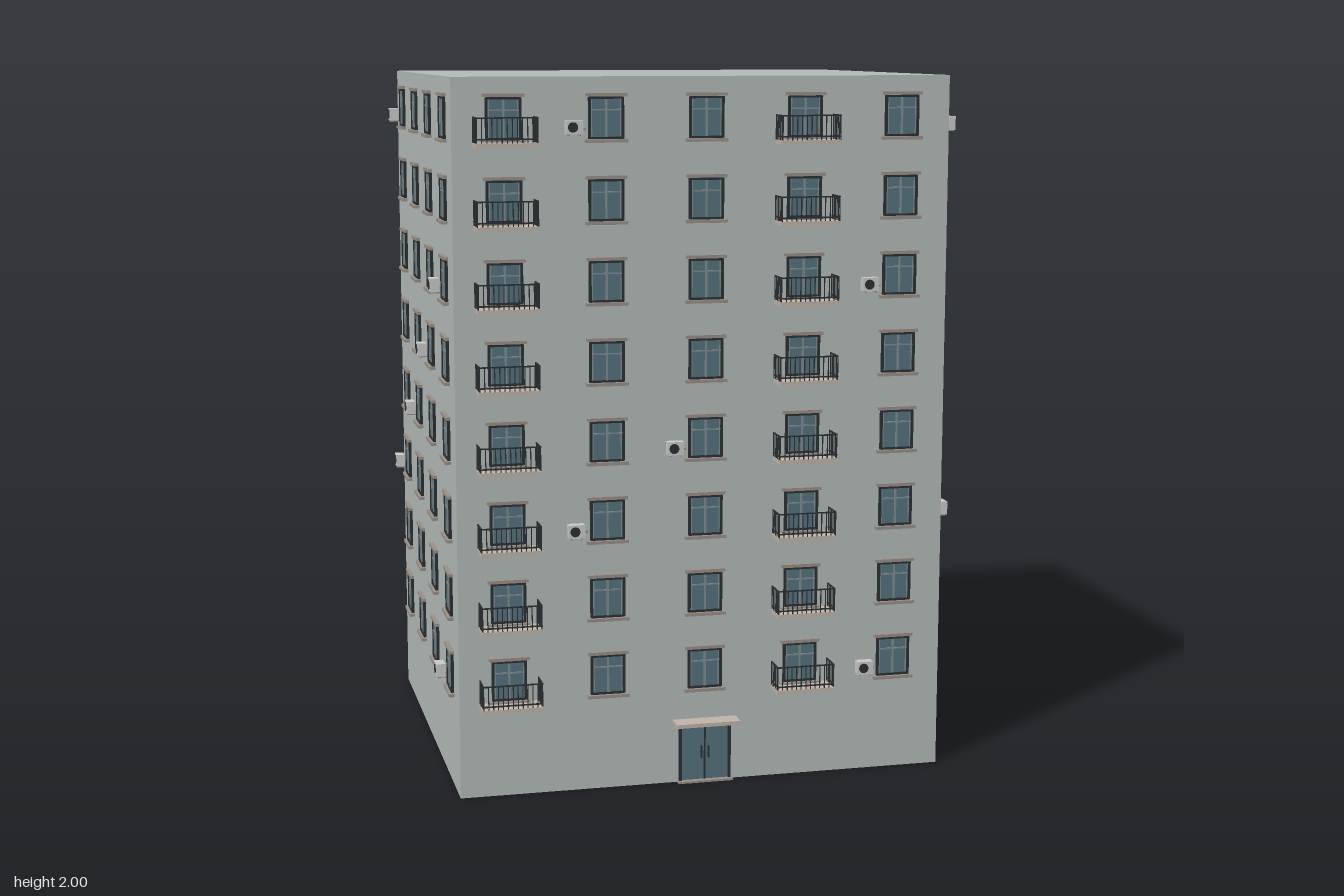
import * as THREE from 'three';
import { mergeGeometries } from 'three/addons/utils/BufferGeometryUtils.js';

const mat = (color) => new THREE.MeshStandardMaterial({ color });
const M = {
  wall: mat(0xb4bcba), trim: mat(0x9a9188), slab: mat(0xc0b5aa), glass: mat(0x55737f),
  sash: mat(0x7f8d90), dark: mat(0x2b3033), casing: mat(0xcccccc),
};

// Box of size w,h,d centred in x and y, with its back at z
const box = (w, h, d, x = 0, y = 0, z = 0) =>
  new THREE.BoxGeometry(w, h, d).translate(x, y, z + d / 2);

function part(name, material, geometries) {
  const mesh = new THREE.Mesh(mergeGeometries(geometries), material);
  mesh.name = name;
  return mesh;
}

function unit(name, ...parts) {
  const g = new THREE.Group();
  g.name = name;
  return g.add(...parts);
}

// Every unit stands on the wall plane z = 0 and faces +z
function makeWindow() {
  const w = 0.094, h = 0.112;
  return unit('window',
    part('windowGlass', M.glass, [box(w, h, 0.003)]),
    part('windowFrame', M.dark, [-1, 1].flatMap((s) => [
      box(0.007, h, 0.008, s * (w / 2 - 0.001)),
      box(w, 0.006, 0.008, 0, s * (h / 2 - 0.002)),
    ])),
    part('windowBars', M.sash, [
      box(0.006, h, 0.006),
      box(w, 0.004, 0.006, 0, 0.022),
      ...[-1, 1].map((s) => box(0.003, h, 0.005, s * 0.04)),
    ]),
    part('sillAndLintel', M.trim, [
      box(0.118, 0.009, 0.016, 0, -0.062),
      box(0.114, 0.009, 0.012, 0, 0.062),
    ]));
}

function makeBalcony() {
  const w = 0.168, d = 0.07, bottom = -0.063, top = 0.004, t = 0.003;
  const h = top - bottom, mid = (top + bottom) / 2, bars = [];
  // front and side rails
  for (const y of [top, bottom + 0.01]) {
    bars.push(box(w, 0.004, t, 0, y, d - t));
    for (const s of [-1, 1]) bars.push(box(t, 0.004, d, s * (w / 2 - t / 2), y));
  }
  // balusters
  for (let i = 0; i <= 12; i++) bars.push(box(0.0025, h, 0.0025, (i / 12 - 0.5) * (w - t), mid, d - t));
  for (const s of [-1, 1])
    for (let i = 0; i < 5; i++) bars.push(box(0.0025, h, 0.0025, s * (w - t) / 2, mid, i * d / 5));
  return unit('balcony',
    part('balconySlab', M.slab, [box(w, 0.012, d, 0, -0.069)]),
    part('balconyRailing', M.dark, bars));
}

function makeAirConditioner() {
  const disc = new THREE.CylinderGeometry(0.014, 0.014, 0.002, 16).rotateX(Math.PI / 2);
  return unit('airConditioner',
    part('casing', M.casing, [box(0.046, 0.038, 0.026, 0, 0, 0.008)]),
    part('fanGrille', M.dark, [disc.translate(-0.005, 0, 0.0345)]),
    part('bracketsAndPipe', M.trim, [
      ...[-1, 1].map((s) => box(0.004, 0.004, 0.032, s * 0.015, -0.021)),
      box(0.014, 0.006, 0.008, 0.028, -0.006),
    ]));
}

function makeEntrance() {
  const w = 0.152, h = 0.172;
  return unit('entrance',
    part('doorPanels', M.glass, [-1, 1].map((s) => box(0.066, h - 0.01, 0.006, s * 0.035, h / 2))),
    part('doorFrame', M.dark, [
      box(0.008, h, 0.012, -w / 2 + 0.004, h / 2),
      box(0.008, h, 0.012, w / 2 - 0.004, h / 2),
      box(w, 0.008, 0.012, 0, h - 0.004),
      box(0.005, h, 0.009, 0, h / 2),
      ...[-1, 1].map((s) => box(0.004, 0.035, 0.014, s * 0.01, 0.088)),
    ]),
    part('canopy', M.slab, [box(0.185, 0.011, 0.055, 0, 0.18)]),
    part('doorStep', M.trim, [box(0.16, 0.006, 0.022, 0, 0.003)]));
}

export function createModel() {
  const W = 1.406, D = 1.212, floors = 9, storey = 2 / floors;
  const model = new THREE.Group();
  model.name = 'apartmentBlock';
  const building = new THREE.Group();
  building.name = 'building';
  building.rotation.y = 0.643;
  building.position.set(-0.002, 0, -0.004);
  model.add(building);

  const body = new THREE.Mesh(new THREE.BoxGeometry(W, 2, D), M.wall);
  body.name = 'walls';
  body.position.y = 1;
  building.add(body);

  const win = makeWindow(), balcony = makeBalcony(), ac = makeAirConditioner();

  // Four walls: turn, width, distance from centre, columns, balcony columns, first air conditioner
  const faces = [
    ['frontWall', 0, W, D / 2, 5, [0, 3], 1],
    ['rightWall', Math.PI / 2, D, W / 2, 4, [2], 0],
    ['backWall', Math.PI, W, D / 2, 5, [], 1],
    ['leftWall', -Math.PI / 2, D, W / 2, 4, [], 0],
  ];
  for (const [name, turn, width, dist, cols, balconies, first] of faces) {
    const wall = new THREE.Group();
    wall.name = name;
    wall.rotation.y = turn;
    building.add(wall);
    const place = (proto, x, y) => {
      const o = proto.clone();
      o.position.set(x, y, dist);
      wall.add(o);
    };
    for (let row = 0; row < floors - 1; row++) {
      const y = 2 - (row + 0.5) * storey;
      const acColumn = (first - row + 10) % 5; // steps diagonally down the wall
      for (let c = 0; c < cols; c++) {
        const x = (c - (cols - 1) / 2) * (width / cols);
        place(win, x, y);
        if (balconies.includes(c)) place(balcony, x, y);
        else if (c === acColumn) place(ac, x - 0.092, y - 0.024);
      }
    }
    if (name === 'frontWall') place(makeEntrance(), 0, 0);
  }
  return model;
}
